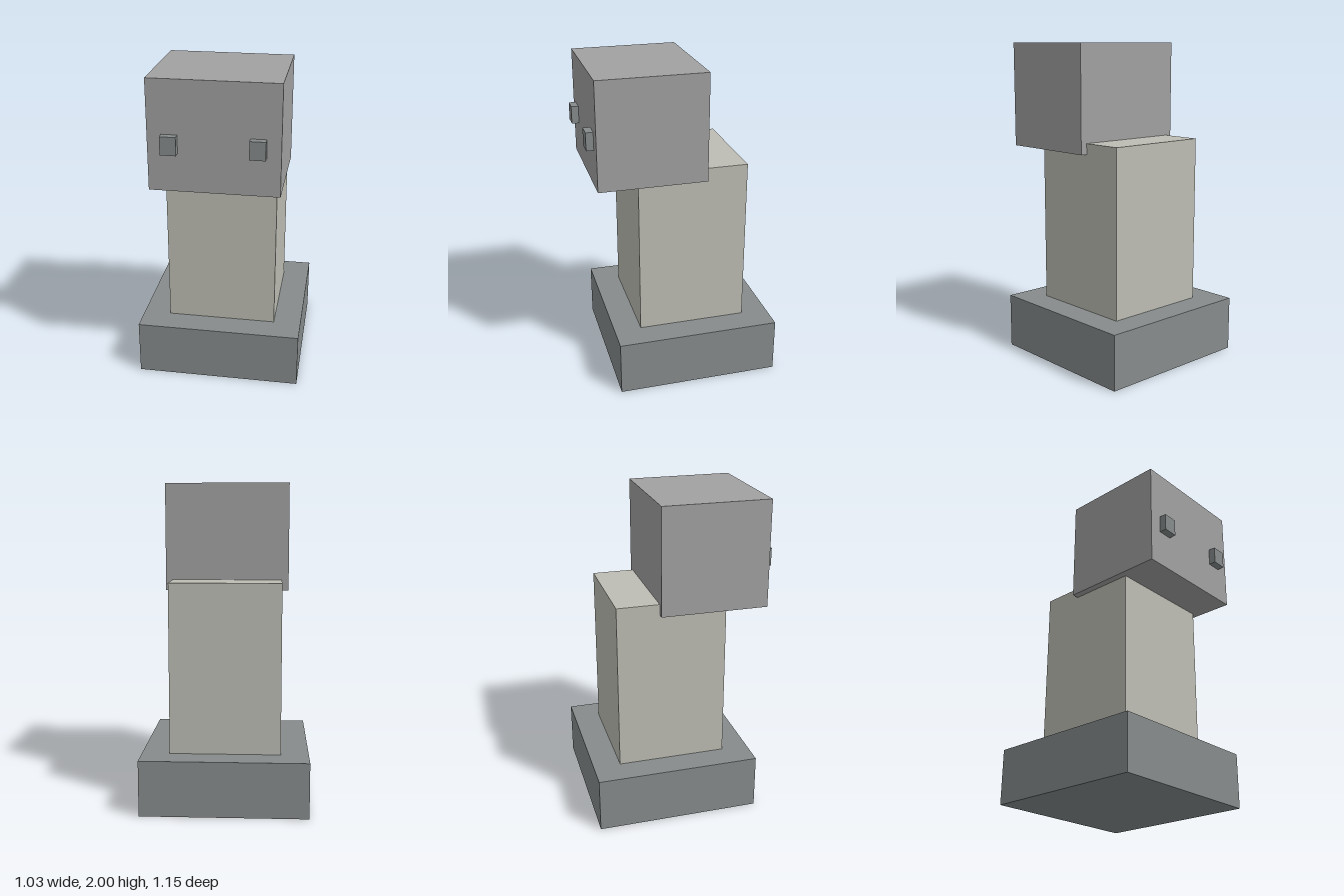
import * as THREE from 'three';

const material = (color) => new THREE.MeshStandardMaterial({ color });

// Box given by its min and max corners
function block(name, [x0, y0, z0], [x1, y1, z1], mat) {
  const mesh = new THREE.Mesh(new THREE.BoxGeometry(x1 - x0, y1 - y0, z1 - z0), mat);
  mesh.position.set((x0 + x1) / 2, (y0 + y1) / 2, (z0 + z1) / 2);
  mesh.name = name;
  return mesh;
}

export function createModel() {
  const model = new THREE.Group();
  model.name = 'blockFigure';
  const darkGrey = material(0x868b8b);
  const beige = material(0xbdbdb4);
  const grey = material(0xa1a1a1);

  // Wide plinth, upright body and forward-set head
  model.add(
    block('base', [-0.515, 0, -0.575], [0.515, 0.345, 0.45], darkGrey),
    block('body', [-0.343, 0.345, -0.405], [0.343, 1.4, 0.28], beige),
    block('head', [-0.386, 1.333, -0.14], [0.386, 2, 0.53], grey),
  );

  // Protruding eyes, mirrored
  for (const [name, side] of [['leftEye', 1], ['rightEye', -1]]) {
    const eye = block(name, [-0.047, 1.566, 0.52], [0.047, 1.677, 0.575], darkGrey);
    eye.position.x = side * 0.256;
    model.add(eye);
  }
  return model;
}
